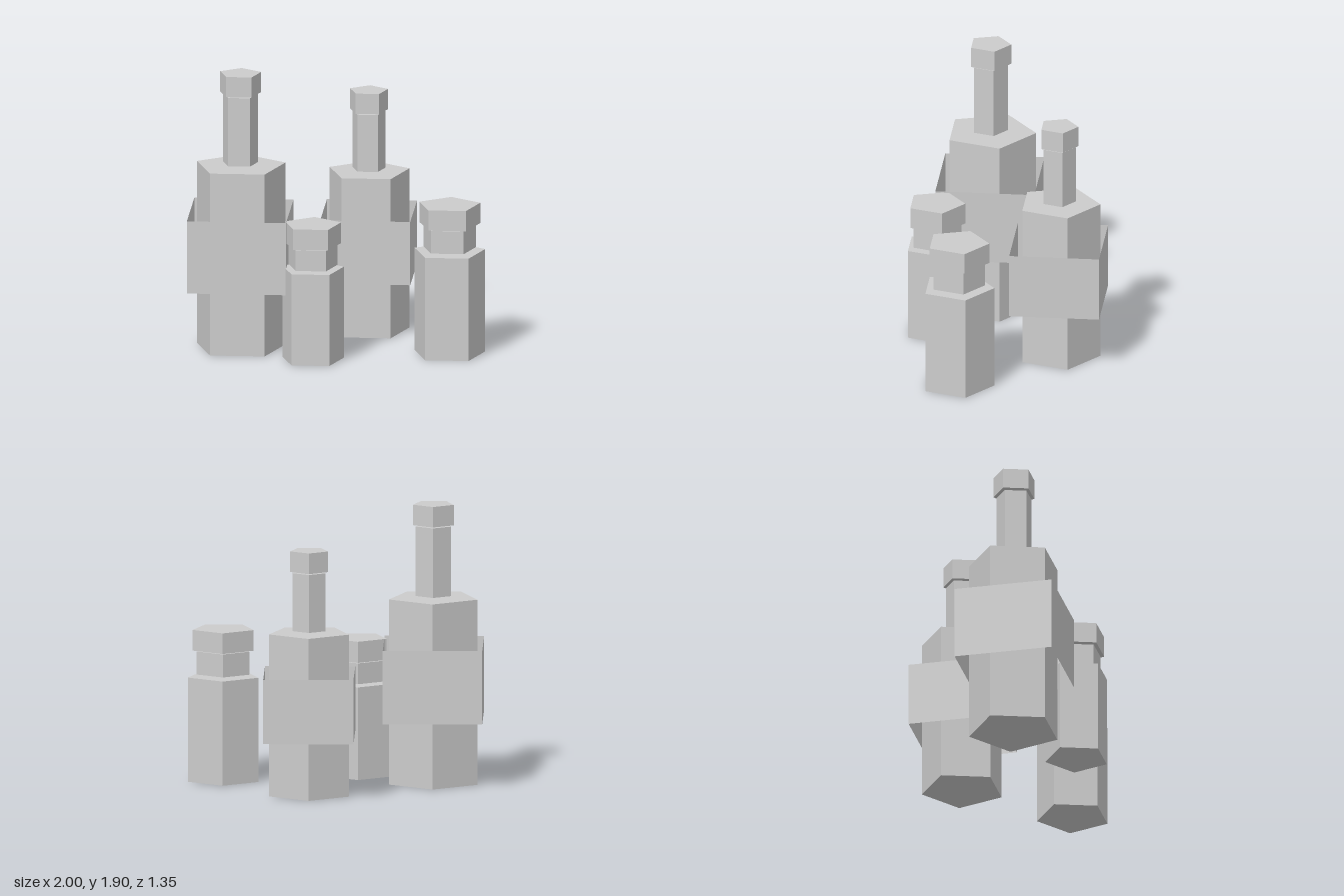
import * as THREE from 'three';

const glass = new THREE.MeshStandardMaterial({ color: 0xcccccc, flatShading: true, side: THREE.DoubleSide });
glass.name = 'plainGrey';

// Upright prism between two heights, centred on its parent's axis
function prism(name, radius, bottom, top, sides = 5, open = false, start = Math.PI) {
  const geometry = new THREE.CylinderGeometry(radius, radius, top - bottom, sides, 1, open, start);
  const mesh = new THREE.Mesh(geometry, glass);
  mesh.name = name;
  mesh.position.y = (bottom + top) / 2;
  return mesh;
}

// Each part: [radius, bottom, top]; label: [half width, bottom, top]
const bottles = [
  { name: 'tallBottle', x: -0.663, z: 0.18, body: [0.315, 0, 1.265], neck: [0.125, 1.28, 1.755], cap: [0.146, 1.765, 1.905], label: [0.336, 0.448, 0.95] },
  { name: 'mediumBottle', x: 0.165, z: -0.371, body: [0.284, 0, 1.107], neck: [0.118, 1.122, 1.518], cap: [0.135, 1.527, 1.668], label: [0.305, 0.39, 0.83] },
  { name: 'smallJar', x: -0.15, z: 0.494, body: [0.219, 0, 0.633], neck: [0.174, 0.648, 0.79], cap: [0.2, 0.798, 0.942] },
  { name: 'wideJar', x: 0.758, z: 0.256, body: [0.251, 0, 0.712], neck: [0.188, 0.73, 0.887], cap: [0.217, 0.895, 1.036] },
];

export function createModel() {
  const model = new THREE.Group();
  model.name = 'bottles';
  for (const { name, x, z, body, neck, cap, label } of bottles) {
    const bottle = new THREE.Group();
    bottle.name = name;
    bottle.position.set(x, 0, z);
    bottle.add(prism('body', ...body), prism('neck', ...neck), prism('cap', ...cap));
    // Open square sleeve around the body
    if (label) {
      const [half, bottom, top] = label;
      bottle.add(prism('label', half * Math.SQRT2, bottom, top, 4, true, Math.PI / 4));
    }
    model.add(bottle);
  }
  return model;
}
